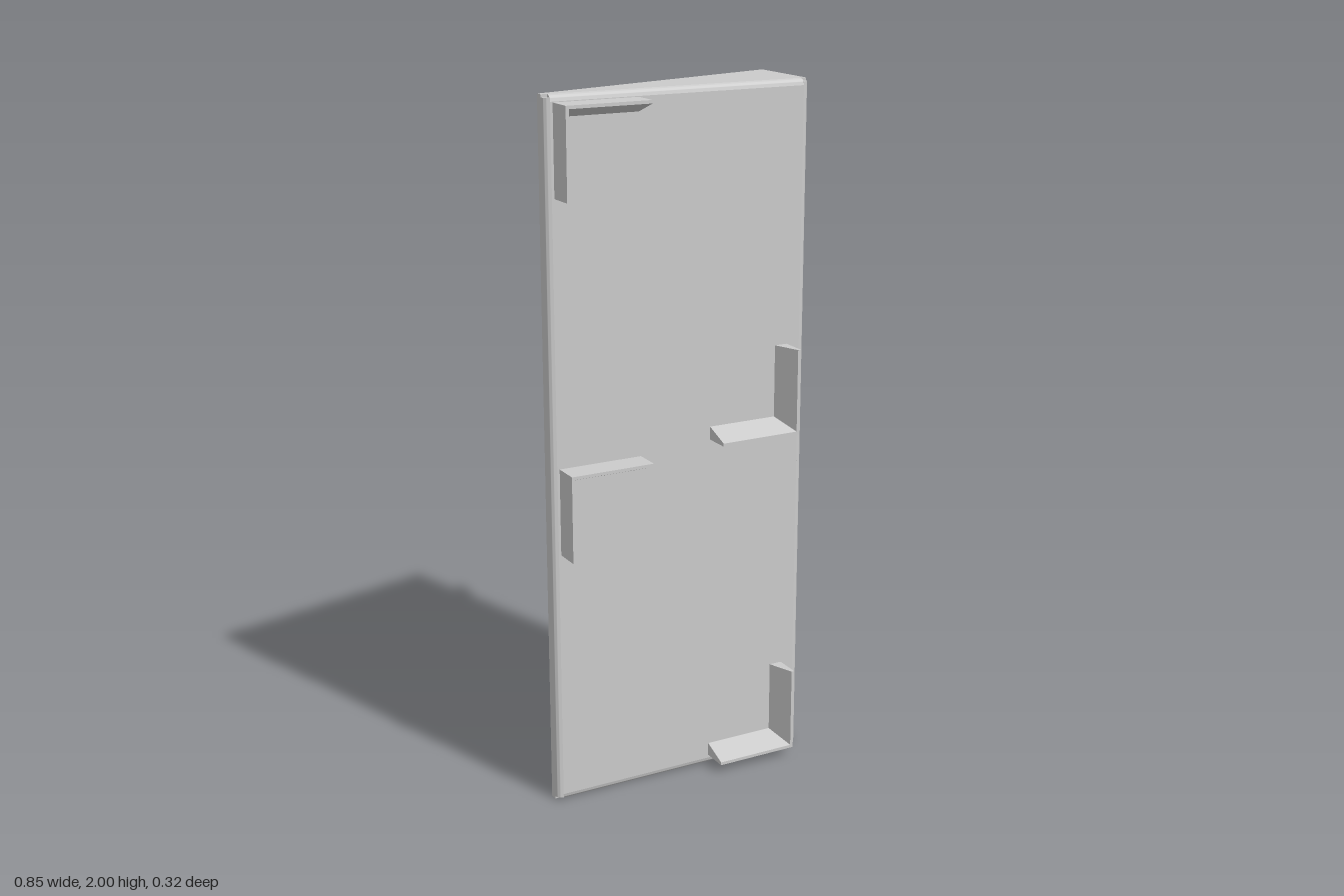
import * as THREE from 'three';
import { toCreasedNormals } from 'three/addons/utils/BufferGeometryUtils.js';

const material = new THREE.MeshStandardMaterial({ color: 0xcccccc });
const T = 0.01;            // sheet thickness
const R = 0.018;           // outer bend radius
const X0 = -0.425, X1 = 0.375, H = 2, FRONT = 0.085, BACK = -0.163, LIP = 0.045;
const BOLT_Z = -0.087;

function add(parent, name, geometry, x = 0, y = 0, z = 0) {
  const mesh = new THREE.Mesh(geometry, material);
  mesh.name = name;
  mesh.position.set(x, y, z);
  parent.add(mesh);
  return mesh;
}

function sheet(points, depth, holes = []) {
  const shape = new THREE.Shape(points.map(p => new THREE.Vector2(...p)));
  for (const [x, y, r] of holes) shape.holes.push(new THREE.Path().absarc(x, y, r, 0, Math.PI * 2, true));
  const g = new THREE.ExtrudeGeometry(shape, { depth, bevelEnabled: false, curveSegments: 16 });
  return toCreasedNormals(g, 0.6);
}

const rect = (x0, y0, x1, y1) => [[x0, y0], [x1, y0], [x1, y1], [x0, y1]];

// Quarter-round sheet bend, running along y and turned about z to its edge
function bend(length, angle) {
  const s = new THREE.Shape();
  s.absarc(0, 0, R, 0, Math.PI / 2, false);
  s.absarc(0, 0, R - T, Math.PI / 2, 0, true);
  const g = new THREE.ExtrudeGeometry(s, { depth: length, bevelEnabled: false, curveSegments: 8 });
  g.translate(0, 0, -length / 2).rotateX(Math.PI / 2).rotateZ(angle);
  return toCreasedNormals(g, 0.6);
}

// L-shaped corner guide: a tapered section swept up one arm and along the other
function guideGeometry() {
  const L = 0.248, D = 0.077;
  const section = [[0, 0], [0.038, 0], [0.009, D], [0, D]];
  const rings = [
    section.map(([d, z]) => [-d, L, z]),
    section.map(([d, z]) => [-d, d, z]),
    section.map(([d, z]) => [-L, d, z]),
  ];
  const pos = [];
  const quad = (a, b, c, d) => pos.push(...a, ...b, ...c, ...a, ...c, ...d);
  quad(...rings[0]);
  quad(...[...rings[2]].reverse());
  for (let k = 0; k < 2; k++) {
    for (let i = 0; i < 4; i++) {
      const j = (i + 1) % 4;
      quad(rings[k][i], rings[k + 1][i], rings[k + 1][j], rings[k][j]);
    }
  }
  const g = new THREE.BufferGeometry();
  g.setAttribute('position', new THREE.Float32BufferAttribute(pos, 3));
  g.computeVertexNormals();
  return g;
}

// Hammer-head bolt through the side wall, with washer and nut inside
function makeBolt() {
  const bolt = new THREE.Group();
  bolt.name = 'hammerHeadBolt';
  const rod = (name, r, x0, x1, sides = 24) => {
    const g = new THREE.CylinderGeometry(r, r, x1 - x0, sides).rotateZ(Math.PI / 2);
    add(bolt, name, toCreasedNormals(g, 0.6), (x0 + x1) / 2);
  };
  rod('shank', 0.016, 0.285, 0.402);
  rod('collar', 0.019, X1 - T, 0.392);
  rod('washer', 0.037, 0.357, X1 - T);
  rod('nut', 0.032, 0.328, 0.357, 6);

  // Head with two opposite rounded corners
  const a = 0.043, b = 0.019, r = 0.016;
  const s = new THREE.Shape();
  s.moveTo(-a, b);
  s.lineTo(-a, -b + r);
  s.absarc(-a + r, -b + r, r, Math.PI, Math.PI * 1.5, false);
  s.lineTo(a, -b);
  s.lineTo(a, b - r);
  s.absarc(a - r, b - r, r, 0, Math.PI / 2, false);
  s.closePath();
  const g = new THREE.ExtrudeGeometry(s, { depth: 0.025, bevelEnabled: false, curveSegments: 8 });
  g.rotateY(Math.PI / 2).scale(1, 1, 1);
  add(bolt, 'hammerHead', toCreasedNormals(g, 0.6), 0.4);
  return bolt;
}

export function createModel() {
  const model = new THREE.Group();
  model.name = 'wedgeCover';

  // Corner guides: [corner x, corner y, direction]
  const guides = [[0.316, 0.027, 1], [0.316, 1.01, 1], [-0.4, 0.995, -1], [-0.4, 1.98, -1]];

  // Front panel with two fixing holes behind each guide
  const pins = guides.flatMap(([x, y, s]) => [
    [x - s * 0.019, y + s * 0.145, 0.008],
    [x - s * 0.145, y + s * 0.019, 0.008],
  ]);
  add(model, 'frontPanel', sheet(rect(X0 + R, R, X1 - R, H - R), T, pins), 0, 0, FRONT - T);

  // Rounded edges around the panel
  const zc = FRONT - R, xc = (X0 + X1) / 2;
  add(model, 'leftBend', bend(H - 0.016, 0), X1 - R, H / 2, zc);
  add(model, 'rightBend', bend(H - 0.016, Math.PI), X0 + R, H / 2, zc);
  add(model, 'topBend', bend(X1 - X0 - 2 * R, Math.PI / 2), xc, H - R, zc);
  add(model, 'bottomBend', bend(X1 - X0 - 2 * R, -Math.PI / 2), xc, R, zc);

  // Deep side wall with two open holes, and the narrow lip opposite
  const wallHoles = [0.6, 1.4].map(y => [-BOLT_Z, y, 0.021]);
  add(model, 'sideWall', sheet(rect(-zc, 0, -BACK, H), T, wallHoles).rotateY(Math.PI / 2), X1 - T);
  add(model, 'sideLip', new THREE.BoxGeometry(T, H, zc - LIP), X0 + T / 2, H / 2, (zc + LIP) / 2);

  // Wedge-shaped end plates
  const wedge = [[X0 + T, -zc], [X1 - T, -zc], [X1 - T, -BACK], [X0 + T, -LIP]];
  for (const [name, y] of [['bottomPlate', 0], ['topPlate', H - T]]) {
    add(model, name, sheet(wedge, T).rotateX(-Math.PI / 2), 0, y);
  }

  const guide = guideGeometry();
  for (const [x, y, s] of guides) {
    const mesh = add(model, 'cornerGuide', guide, x, y, FRONT);
    if (s < 0) mesh.rotation.z = Math.PI;
  }

  for (const y of [0.2, 1.805]) {
    const bolt = makeBolt();
    bolt.position.set(0, y, BOLT_Z);
    model.add(bolt);
  }
  return model;
}
